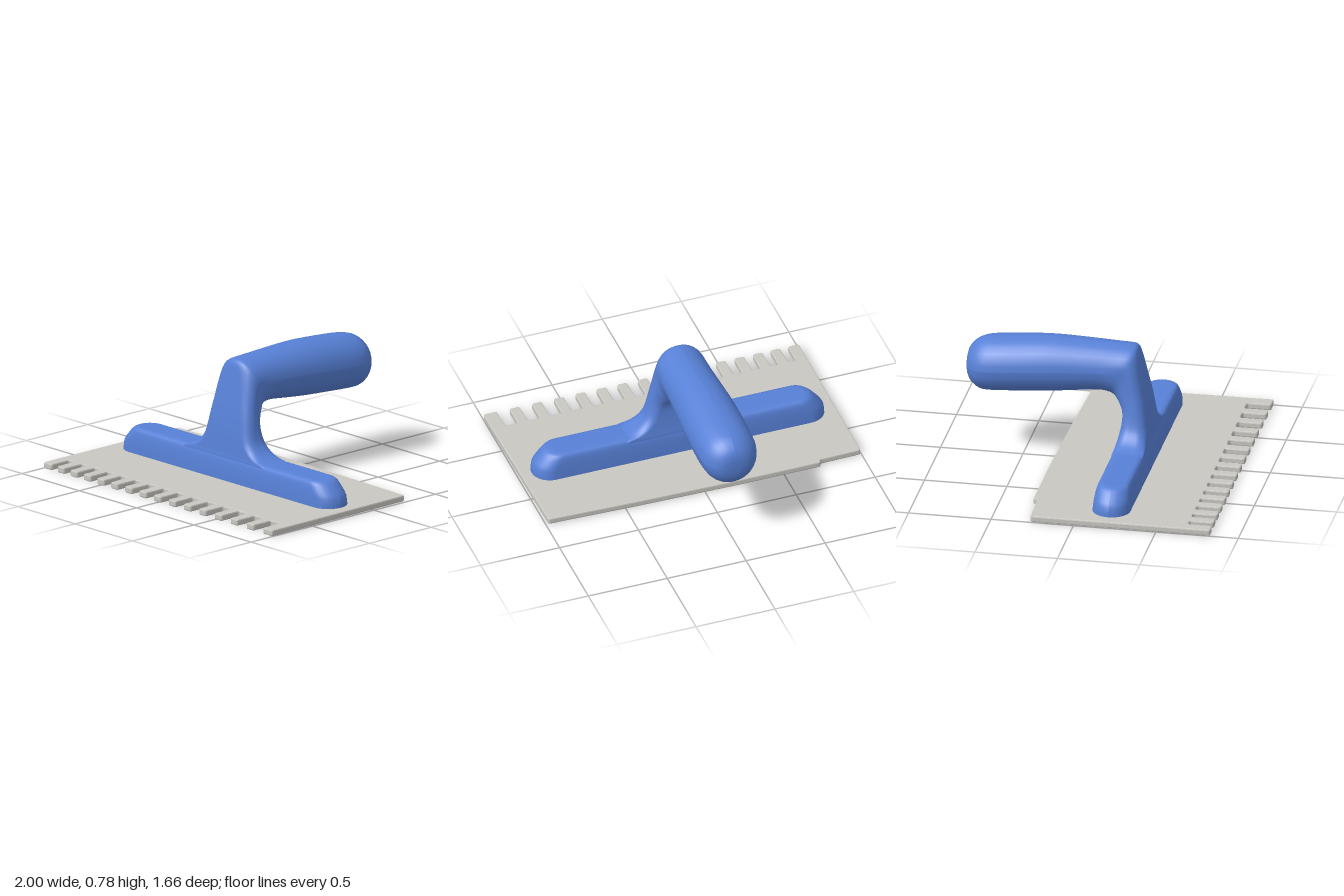
import * as THREE from 'three';

const blue = new THREE.MeshStandardMaterial({ color: 0x5780d6 });
blue.name = 'blue plastic';
const steel = new THREE.MeshStandardMaterial({ color: 0xc9c7c2 });
steel.name = 'pale steel';

// Outline of a rounded rectangle: half width w, half depth d, corner radius r
function roundedRing(w, d, r, n = 7) {
  r = Math.min(r, w, d);
  const ring = [];
  [[1, 1], [-1, 1], [-1, -1], [1, -1]].forEach(([sx, sy], q) => {
    for (let i = 0; i <= n; i++) {
      const a = (q + i / n) * Math.PI / 2;
      ring.push([sx * (w - r) + r * Math.cos(a), sy * (d - r) + r * Math.sin(a)]);
    }
  });
  return ring;
}

// Smooth skin over sections [front z, front y, back z, back y, half width, radius]
function loft(sections, steps) {
  const curve = (i) => new THREE.SplineCurve(sections.map((s) => new THREE.Vector2(s[i], s[i + 1])));
  const front = curve(0), back = curve(2), size = curve(4);
  const count = (sections.length - 1) * steps;
  const pos = [], index = [];
  let m = 0;
  for (let k = 0; k <= count; k++) {
    const f = front.getPoint(k / count), b = back.getPoint(k / count), s = size.getPoint(k / count);
    const mid = f.clone().add(b).multiplyScalar(0.5);
    const dir = f.clone().sub(b).normalize();
    const ring = roundedRing(s.x, f.distanceTo(b) / 2, s.y);
    m = ring.length;
    for (const [u, v] of ring) pos.push(u, mid.y + dir.y * v, mid.x + dir.x * v);
    if (k === count) pos.push(0, mid.y, mid.x);
  }
  for (let k = 0; k < count; k++) {
    for (let j = 0; j < m; j++) {
      const a = k * m + j, b = k * m + (j + 1) % m;
      index.push(a, b + m, b, a, a + m, b + m);
    }
  }
  for (let j = 0; j < m; j++) index.push((count + 1) * m, count * m + (j + 1) % m, count * m + j);
  const geo = new THREE.BufferGeometry();
  geo.setAttribute('position', new THREE.Float32BufferAttribute(pos, 3));
  geo.setIndex(index);
  geo.computeVertexNormals();
  return geo;
}

// Outline with every corner rounded by up to radius r
function roundedShape(points, r) {
  const shape = new THREE.Shape();
  const n = points.length;
  points.forEach((p, i) => {
    const towards = (q) => p.clone().lerp(q, Math.min(0.45, r / p.distanceTo(q)));
    const start = towards(points[(i + n - 1) % n]), end = towards(points[(i + 1) % n]);
    if (i === 0) shape.moveTo(start.x, start.y);
    else shape.lineTo(start.x, start.y);
    shape.quadraticCurveTo(p.x, p.y, end.x, end.y);
  });
  shape.closePath();
  return shape;
}

function makeBlade() {
  const pts = [];
  const add = (x, z) => pts.push(new THREE.Vector2(x, -z));
  add(-1, 0.828);
  // Notches grow wider from one end to the other
  for (let i = 0; i < 15; i++) {
    const x = -0.905 + 0.111 * i + 0.00115 * i * i;
    const h = 0.024 + 0.0011 * i;
    add(x - h, 0.828);
    add(x - h, 0.682);
    add(x + h, 0.682);
    add(x + h, 0.828);
  }
  // Front corner, then the slightly sloping back edge with its step
  add(1, 0.828);
  add(0.985, -0.265);
  add(0.4, -0.284);
  add(-0.2, -0.296);
  add(-0.73, -0.296);
  add(-0.735, -0.27);
  add(-0.995, -0.265);
  const geo = new THREE.ExtrudeGeometry(roundedShape(pts, 0.016), {
    depth: 0.022, bevelThickness: 0.008, bevelSize: 0.006, bevelOffset: -0.006,
    bevelSegments: 2, curveSegments: 4,
  });
  geo.rotateX(-Math.PI / 2);
  geo.translate(0, 0.016, 0);
  return geo;
}

export function createModel() {
  const model = new THREE.Group();
  model.name = 'notchedTrowel';
  const part = (name, geo, mat) => {
    const mesh = new THREE.Mesh(geo, mat);
    mesh.name = name;
    model.add(mesh);
  };

  part('notchedBlade', makeBlade(), steel);

  // Long bar with sloping rounded ends
  part('mountingBar', loft([
    [0.310, 0.035, 0.080, 0.035, 0.925, 0.115],
    [0.307, 0.100, 0.086, 0.100, 0.918, 0.112],
    [0.302, 0.145, 0.092, 0.145, 0.885, 0.105],
    [0.295, 0.178, 0.100, 0.178, 0.855, 0.098],
    [0.283, 0.194, 0.112, 0.194, 0.830, 0.085],
    [0.262, 0.200, 0.132, 0.200, 0.795, 0.065],
  ], 2), blue);

  // Flared neck bending back into the round grip
  part('neckAndGrip', loft([
    [0.296, 0.100, 0.092, 0.100, 0.42, 0.06],
    [0.294, 0.180, 0.100, 0.180, 0.40, 0.06],
    [0.291, 0.204, 0.105, 0.204, 0.32, 0.06],
    [0.288, 0.235, 0.112, 0.235, 0.258, 0.06],
    [0.284, 0.285, 0.121, 0.285, 0.213, 0.06],
    [0.277, 0.350, 0.128, 0.340, 0.192, 0.06],
    [0.262, 0.450, 0.125, 0.385, 0.178, 0.065],
    [0.241, 0.560, 0.110, 0.415, 0.165, 0.08],
    [0.222, 0.660, 0.090, 0.440, 0.156, 0.10],
    [0.208, 0.730, 0.070, 0.455, 0.151, 0.125],
    [0.193, 0.762, 0.048, 0.467, 0.150, 0.14],
    [0.160, 0.772, 0.022, 0.475, 0.151, 0.145],
    [0.090, 0.776, -0.010, 0.479, 0.153, 0.15],
    [-0.020, 0.781, -0.070, 0.477, 0.156, 0.152],
    [-0.200, 0.787, -0.200, 0.462, 0.165, 0.16],
    [-0.350, 0.787, -0.350, 0.447, 0.174, 0.168],
    [-0.550, 0.773, -0.550, 0.434, 0.179, 0.17],
    [-0.680, 0.760, -0.680, 0.426, 0.175, 0.167],
    [-0.750, 0.744, -0.750, 0.429, 0.158, 0.158],
    [-0.800, 0.708, -0.800, 0.462, 0.122, 0.122],
    [-0.826, 0.665, -0.826, 0.505, 0.080, 0.08],
    [-0.834, 0.615, -0.834, 0.555, 0.030, 0.03],
  ], 3), blue);

  return model;
}
